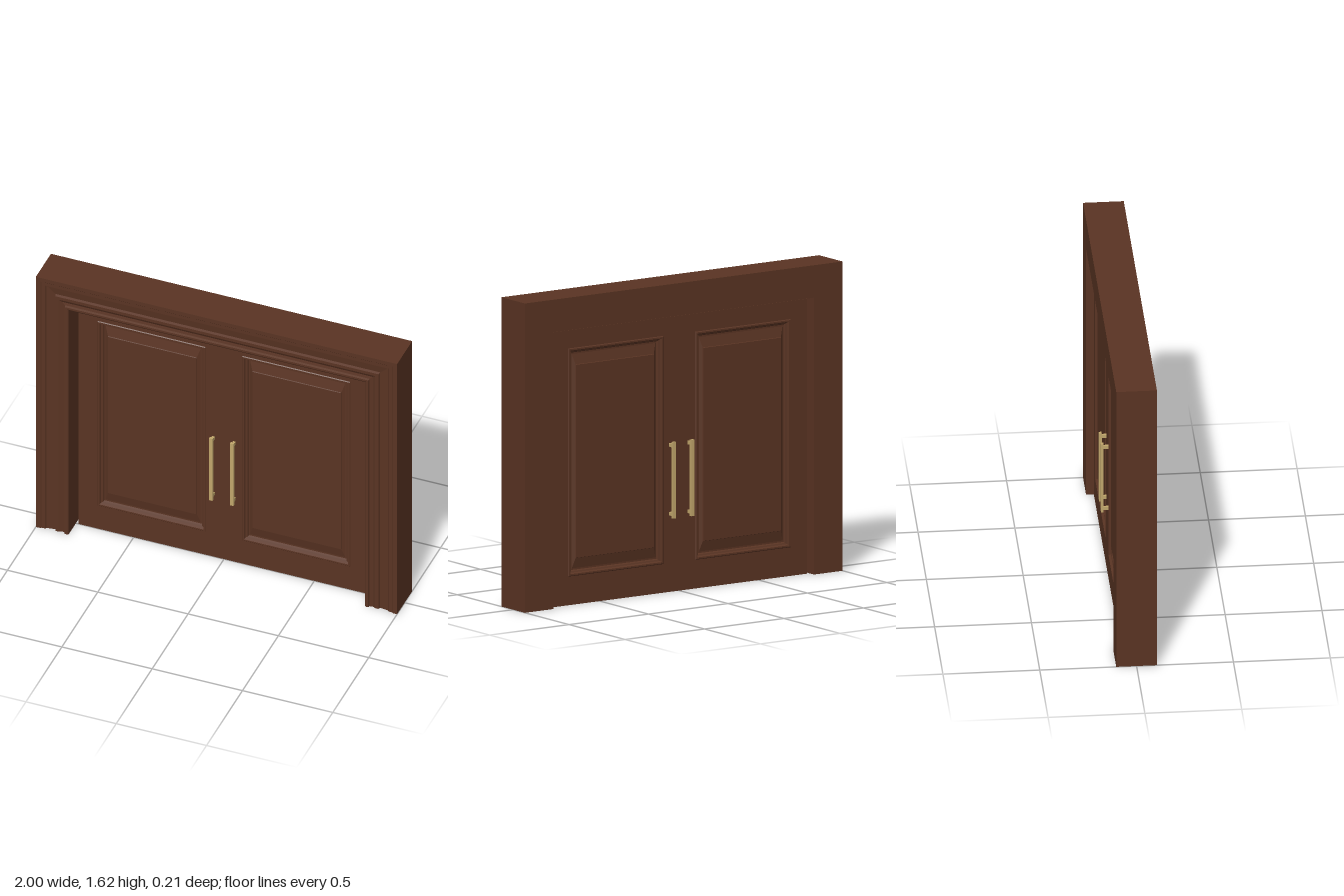
import * as THREE from 'three';

const HALF_OPEN = 0.82, OPEN_TOP = 1.45, HALF_DEPTH = 0.105;
const LEAF_W = 0.805, LEAF_H = 1.44, LEAF_D = 0.065, LEAF_Z = -0.0325;
const PANEL = { x: 0.4, y: 0.7475, w: 0.6, h: 1.195 };

// Flat-shaded geometry from a list of quads (four corners each, counter-clockwise)
function quadGeometry(quads) {
  const points = quads.flatMap(([a, b, c, d]) => [a, b, c, a, c, d]);
  const geometry = new THREE.BufferGeometry().setFromPoints(points);
  geometry.computeVertexNormals();
  return geometry;
}

// Casing section: distance outward from the opening, and z
const casingSection = [
  [0, -HALF_DEPTH], [0, 0.1], [0.008, 0.105], [0.02, 0.105], [0.024, 0.094],
  [0.04, 0.091], [0.056, 0.099], [0.074, 0.099], [0.079, 0.086], [0.125, 0.092],
  [0.13, 0.1], [0.15, 0.1], [0.155, 0.105], [0.18, 0.105], [0.18, -HALF_DEPTH],
];

// Mitred sweep up the left jamb, across the head and down the other jamb
function casingGeometry() {
  const path = [[-1, 0], [-1, 1], [1, 1], [1, 0]];
  const at = ([d, z], [side, top]) =>
    new THREE.Vector3(side * (HALF_OPEN + d), top * (OPEN_TOP + d * 0.17 / 0.18), z);
  const quads = [];
  for (let j = 0; j < path.length - 1; j++) {
    casingSection.forEach((p, i) => {
      const q = casingSection[(i + 1) % casingSection.length];
      quads.push([at(p, path[j]), at(p, path[j + 1]), at(q, path[j + 1]), at(q, path[j])]);
    });
  }
  return quadGeometry(quads);
}

// Moulded, raised panel: nested rectangles given as x inset, y inset, z
function panelGeometry() {
  const steps = [
    [0, 0, 0], [0.004, 0.004, 0.004], [0.012, 0.012, 0.004], [0.017, 0.017, -0.008],
    [0.027, 0.024, -0.011], [0.031, 0.028, -0.02], [0.037, 0.036, -0.02],
    [0.054, 0.09, -0.009], [0.055, 0.092, -0.005],
  ];
  const rings = steps.map(([ix, iy, z]) => {
    const x = PANEL.w / 2 - ix, y = PANEL.h / 2 - iy;
    return [[-x, -y], [x, -y], [x, y], [-x, y]].map(([a, b]) => new THREE.Vector3(a, b, z));
  });
  const quads = [rings[rings.length - 1]];
  for (let i = 0; i < rings.length - 1; i++) {
    for (let k = 0; k < 4; k++) {
      const n = (k + 1) % 4;
      quads.push([rings[i][k], rings[i][n], rings[i + 1][n], rings[i + 1][k]]);
    }
  }
  return quadGeometry(quads);
}

// Stiles and rails of one leaf, with the panel opening cut out
function leafFrameGeometry() {
  const rect = (Type, x0, y0, x1, y1) => new Type(
    [[x0, y0], [x1, y0], [x1, y1], [x0, y1]].map(([x, y]) => new THREE.Vector2(x, y)));
  const shape = rect(THREE.Shape, 0, 0, LEAF_W, LEAF_H);
  const { x, y, w, h } = PANEL;
  shape.holes.push(rect(THREE.Path, x - w / 2, y - h / 2, x + w / 2, y + h / 2));
  const geometry = new THREE.ExtrudeGeometry(shape, { depth: LEAF_D, bevelEnabled: false });
  return geometry.translate(0, 0, -LEAF_D / 2);
}

export function createModel() {
  const wood = new THREE.MeshStandardMaterial({ color: 0x5a3423 });
  wood.name = 'brown wood';
  const brass = new THREE.MeshStandardMaterial({ color: 0xc2a76c });
  brass.name = 'pale brass';

  const add = (parent, name, geometry, material, x = 0, y = 0, z = 0) => {
    const mesh = new THREE.Mesh(geometry, material);
    mesh.name = name;
    mesh.position.set(x, y, z);
    parent.add(mesh);
    return mesh;
  };
  const group = (parent, name) => {
    const g = new THREE.Group();
    g.name = name;
    parent.add(g);
    return g;
  };

  const model = new THREE.Group();
  model.name = 'doubleDoor';

  // Casing and the cut ends of its jambs
  const frame = group(model, 'doorFrame');
  add(frame, 'casing', casingGeometry(), wood);
  for (const side of [-1, 1]) {
    const foot = new THREE.Shape(
      casingSection.map(([d, z]) => new THREE.Vector2(side * (HALF_OPEN + d), z)));
    add(frame, side > 0 ? 'leftJambFoot' : 'rightJambFoot',
      new THREE.ShapeGeometry(foot).rotateX(Math.PI / 2), wood);
  }

  // Two leaves; the second is the first turned half a circle
  const leafFrame = leafFrameGeometry(), panel = panelGeometry();
  const bar = new THREE.BoxGeometry(0.02, 0.4, 0.014);
  const post = new THREE.BoxGeometry(0.014, 0.018, 0.03);
  for (const side of [1, -1]) {
    const leaf = group(model, side > 0 ? 'leftLeaf' : 'rightLeaf');
    leaf.position.z = LEAF_Z;
    leaf.rotation.y = side > 0 ? 0 : Math.PI;
    add(leaf, 'stilesAndRails', leafFrame, wood);

    for (const face of [1, -1]) {
      const z = face * LEAF_D / 2;
      const relief = add(leaf, 'raisedPanel', panel, wood, PANEL.x, PANEL.y, z);
      relief.rotation.y = face > 0 ? 0 : Math.PI;

      // Pull handle on two short posts
      const handle = group(leaf, 'pullHandle');
      handle.position.set(0.058, 0.59, z);
      add(handle, 'handleBar', bar, brass, 0, 0, face * 0.032);
      for (const end of [-1, 1]) add(handle, 'handlePost', post, brass, 0, end * 0.18, face * 0.013);
    }
  }
  return model;
}
